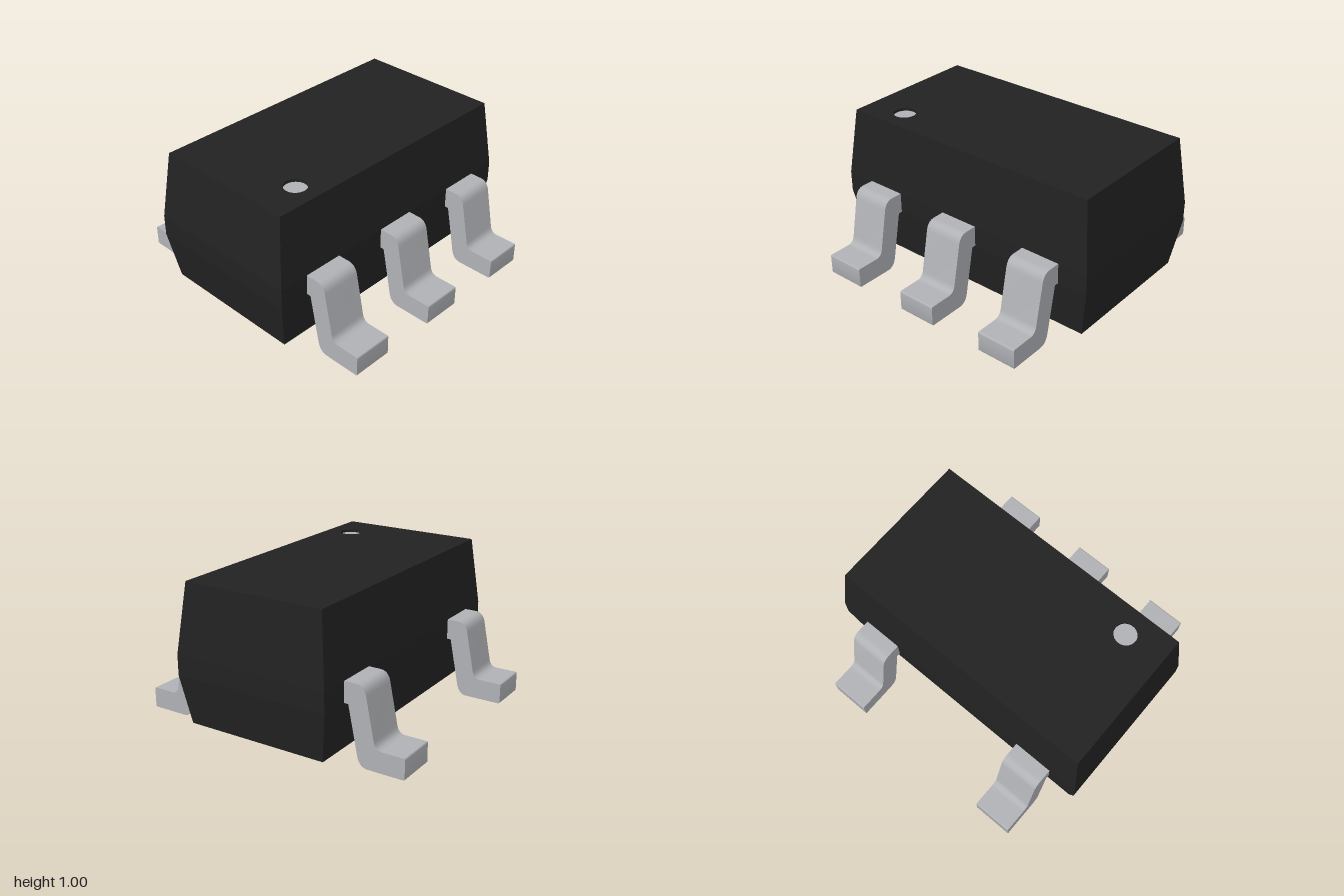
import * as THREE from 'three';
import { toCreasedNormals } from 'three/addons/utils/BufferGeometryUtils.js';

const plastic = new THREE.MeshStandardMaterial({ color: 0x222222 });
plastic.name = 'black plastic';
const metal = new THREE.MeshStandardMaterial({ color: 0xb0b1b5 });
metal.name = 'tinned metal';

const TOP = 1, BOTTOM = 0.055;
const DOT = { x: -0.66, z: 0.33, r: 0.076, depth: 0.02 };

function mesh(name, geometry, material) {
  const m = new THREE.Mesh(geometry, material);
  m.name = name;
  return m;
}

// Tapered walls and floor from rectangular sections [y, half width, half depth]
function bodyWalls() {
  const sections = [[BOTTOM, 0.945, 0.5], [0.39, 1, 0.55], [0.53, 1, 0.55], [TOP, 0.945, 0.5]];
  const rings = sections.map(([y, w, d]) => [[-w, y, d], [w, y, d], [w, y, -d], [-w, y, -d]]);
  const pos = [];
  const quad = (a, b, c, d) => pos.push(...a, ...b, ...c, ...a, ...c, ...d);
  for (let i = 0; i < 3; i++) {
    for (let j = 0; j < 4; j++) {
      const k = (j + 1) % 4;
      quad(rings[i][j], rings[i][k], rings[i + 1][k], rings[i + 1][j]);
    }
  }
  quad(rings[0][3], rings[0][2], rings[0][1], rings[0][0]);
  const g = new THREE.BufferGeometry();
  g.setAttribute('position', new THREE.Float32BufferAttribute(pos, 3));
  g.computeVertexNormals();
  return g;
}

// Top face with a round opening for the pin marker
function bodyTop() {
  const s = new THREE.Shape();
  s.moveTo(-0.945, -0.5).lineTo(0.945, -0.5).lineTo(0.945, 0.5).lineTo(-0.945, 0.5).closePath();
  s.holes.push(new THREE.Path().absarc(DOT.x, -DOT.z, DOT.r, 0, Math.PI * 2, true));
  return new THREE.ShapeGeometry(s, 24).rotateX(-Math.PI / 2).translate(0, TOP, 0);
}

// Gull-wing lead: side profile in (z, y), extruded across x
function leadGeometry(width) {
  const s = new THREE.Shape();
  s.moveTo(0.5, 0.39).lineTo(0.578, 0.39);
  s.lineTo(0.643, 0.065).quadraticCurveTo(0.658, 0, 0.715, 0);
  s.lineTo(0.955, 0).quadraticCurveTo(0.965, 0, 0.965, 0.01);
  s.lineTo(0.965, 0.13).quadraticCurveTo(0.965, 0.14, 0.955, 0.14);
  s.lineTo(0.81, 0.14).quadraticCurveTo(0.765, 0.14, 0.755, 0.19);
  s.lineTo(0.7, 0.465).quadraticCurveTo(0.687, 0.53, 0.63, 0.53);
  s.lineTo(0.5, 0.53).closePath();
  const g = new THREE.ExtrudeGeometry(s, { depth: width, bevelEnabled: false, curveSegments: 8 });
  g.translate(0, 0, -width / 2).rotateY(-Math.PI / 2);
  return toCreasedNormals(g, 0.6);
}

export function createModel() {
  const model = new THREE.Group();
  model.name = 'chipPackage';

  const body = new THREE.Group();
  body.name = 'body';
  body.add(mesh('bodyWalls', bodyWalls(), plastic), mesh('bodyTop', bodyTop(), plastic));

  // Recessed marker: inward-facing wall and light floor
  const wall = new THREE.CylinderGeometry(DOT.r, DOT.r, DOT.depth, 48, 1, true);
  wall.scale(-1, 1, 1);
  const recess = mesh('markerWall', wall, plastic);
  wall.index.array.reverse();
  wall.scale(-1, 1, 1);
  recess.position.set(DOT.x, TOP - DOT.depth / 2, DOT.z);
  const dot = mesh('markerDot', new THREE.CircleGeometry(DOT.r, 48).rotateX(-Math.PI / 2), metal);
  dot.position.set(DOT.x, TOP - DOT.depth, DOT.z);
  body.add(recess, dot);
  model.add(body);

  // Three leads in front, two behind
  const lead = leadGeometry(0.275);
  for (const x of [-0.655, 0, 0.655]) {
    const front = mesh('frontLead', lead, metal);
    front.position.x = x;
    model.add(front);
    if (x === 0) continue;
    const back = mesh('backLead', lead, metal);
    back.position.x = x;
    back.rotation.y = Math.PI;
    model.add(back);
  }
  return model;
}
